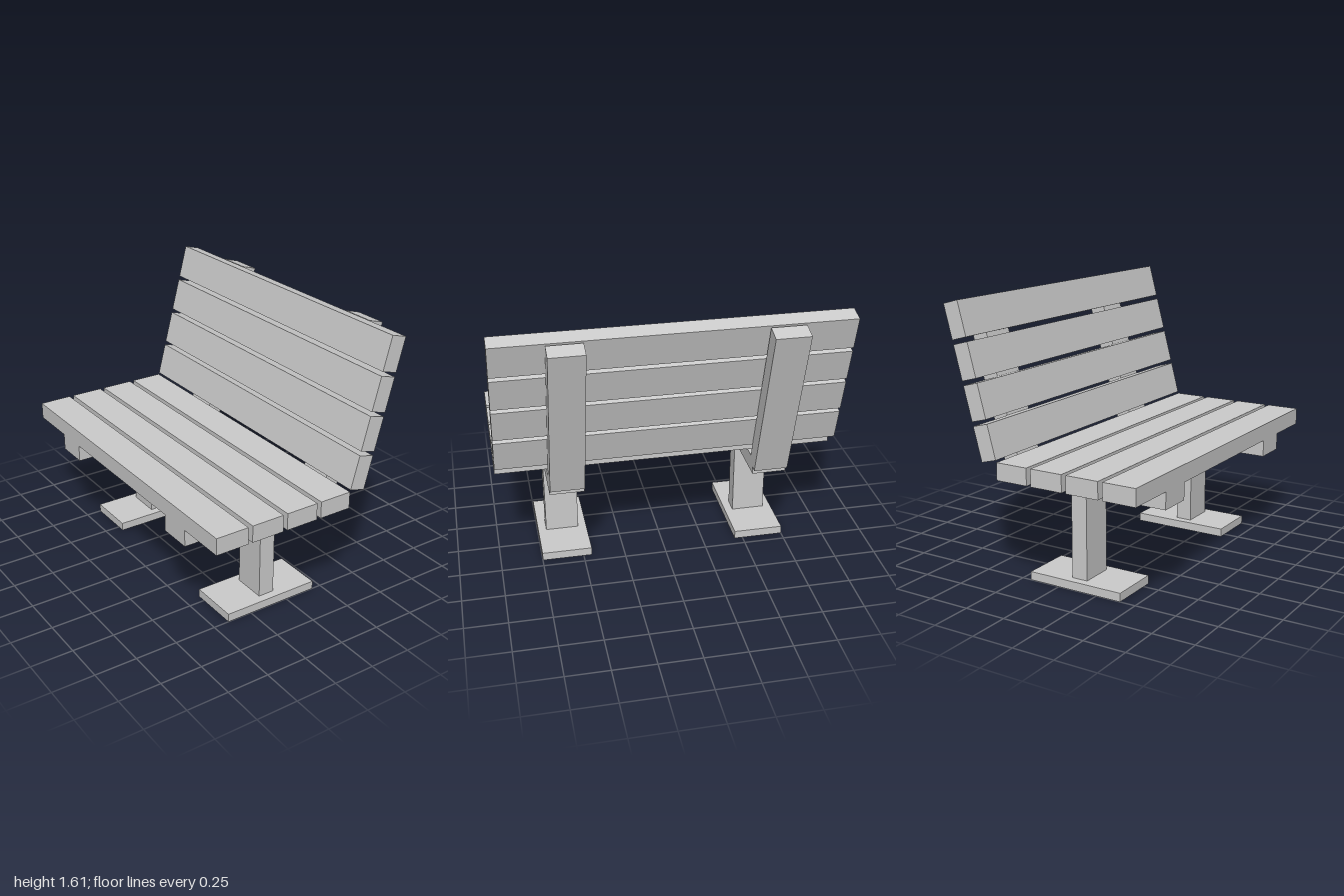
import * as THREE from 'three';

export function createModel() {
  const bench = new THREE.Group();
  bench.name = 'parkBench';
  const material = new THREE.MeshStandardMaterial({ color: 0xcccccc, flatShading: true });

  // Box placed by its centre, leaning backwards (+x) by an angle in degrees
  function addBox(parent, name, size, centre, lean = 0) {
    const mesh = new THREE.Mesh(new THREE.BoxGeometry(...size), material);
    mesh.name = name;
    mesh.position.set(...centre);
    mesh.rotation.z = -THREE.MathUtils.degToRad(lean);
    parent.add(mesh);
  }

  // Four seat planks and four tilted backrest planks
  const lean = 15;
  const pitch = 0.225;
  const a = THREE.MathUtils.degToRad(lean);
  for (let i = 0; i < 4; i++) {
    addBox(bench, `seatPlank${i + 1}`, [0.198, 0.1, 2], [-0.556 + i * pitch, 0.702, 0]);
    const x = 0.295 + Math.sin(a) * pitch * i;
    const y = 0.847 + Math.cos(a) * pitch * i;
    addBox(bench, `backPlank${i + 1}`, [0.098, 0.2, 2], [x, y, 0], lean);
  }

  // Two identical support frames
  for (const z of [-0.6, 0.6]) {
    const frame = new THREE.Group();
    frame.name = z < 0 ? 'rearSupportFrame' : 'frontSupportFrame';
    frame.position.z = z;
    addBox(frame, 'footPlate', [0.597, 0.05, 0.3], [-0.106, 0.025, 0]);
    addBox(frame, 'leg', [0.098, 0.502, 0.2], [-0.108, 0.301, 0]);
    addBox(frame, 'seatBeam', [0.997, 0.1, 0.2], [-0.1565, 0.602, 0]);
    addBox(frame, 'backPost', [0.098, 1, 0.2], [0.466, 1.084, 0], 16);
    bench.add(frame);
  }

  return bench;
}
